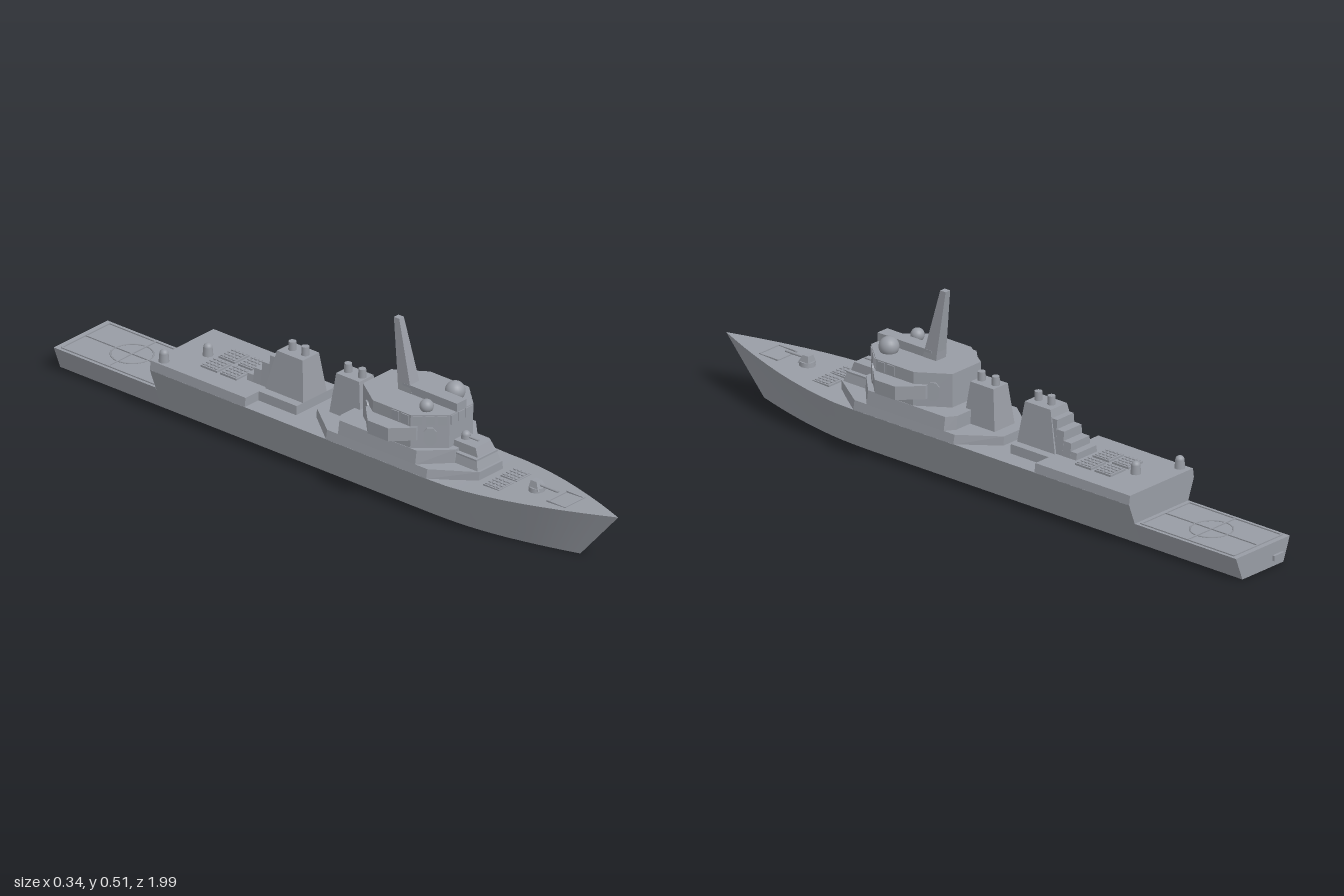
import * as THREE from 'three';
import { toCreasedNormals } from 'three/addons/utils/BufferGeometryUtils.js';

export function createModel() {
  const ship = new THREE.Group();
  ship.name = 'warship';
  const grey = new THREE.MeshStandardMaterial({ color: 0x989ca4 });
  grey.name = 'naval grey';

  const add = (name, geometry, x = 0, y = 0, z = 0, parent = ship) => {
    const mesh = new THREE.Mesh(geometry, grey);
    mesh.name = name;
    mesh.position.set(x, y, z);
    parent.add(mesh);
    return mesh;
  };
  const box = (name, w, h, d, x, y, z) => add(name, new THREE.BoxGeometry(w, h, d), x, y, z);

  // Joins convex rings of equal point count and caps both ends
  const loft = (rings) => {
    const p = [], n = rings[0].length;
    const tri = (a, b, c) => p.push(...a, ...b, ...c);
    for (let k = 0; k + 1 < rings.length; k++) {
      for (let i = 0; i < n; i++) {
        const j = (i + 1) % n, a = rings[k], b = rings[k + 1];
        tri(a[i], a[j], b[j]);
        tri(a[i], b[j], b[i]);
      }
    }
    const first = rings[0], last = rings[rings.length - 1];
    for (let i = 1; i + 1 < n; i++) {
      tri(first[0], first[i + 1], first[i]);
      tri(last[0], last[i], last[i + 1]);
    }
    const g = new THREE.BufferGeometry();
    g.setAttribute('position', new THREE.Float32BufferAttribute(p, 3));
    g.computeVertexNormals();
    return g;
  };
  // Mirrored deck outline, half given as [x, z] from front to back
  const outline = (half, y, sx = 1) => [
    ...half.map(([x, z]) => [x * sx, y, z]),
    ...half.slice().reverse().map(([x, z]) => [-x * sx, y, z]),
  ];
  const house = (name, half, y0, y1, sx = 1) =>
    add(name, loft([outline(half, y0), outline(half, y1, sx)]));
  // Tapered block: each level is [y, half width, back z, front z]
  const taper = (name, ...levels) =>
    add(name, loft(levels.map(([y, w, b, f]) => outline([[w, f], [w, b]], y))));

  // Hull: flared cross-sections from stern to bow
  const sheer = (z) => 0.133 + 0.024 * Math.max(0, (z - 0.48) / 0.52);
  const section = (z, w, y, zb, wb) => [[-wb, 0, zb], [wb, 0, zb], [w, y, z], [-w, y, z]];
  const stations = [[-0.61, 0.135], [0.3, 0.135], [0.42, 0.135], [0.48, 0.133], [0.54, 0.129], [0.6, 0.121],
    [0.66, 0.11], [0.72, 0.096], [0.78, 0.079], [0.84, 0.06], [0.9, 0.039], [0.95, 0.02], [1, 0]];
  const hull = stations.map(([z, w]) =>
    section(z, w, sheer(z), z > 0.3 ? 0.3 + (z - 0.3) * 0.8 : z, w * 0.63));
  add('hull', toCreasedNormals(loft(hull), 0.4));
  add('sternHull', loft([section(-0.985, 0.112, 0.07, -0.985, 0.085), section(-0.61, 0.112, 0.07, -0.61, 0.085)]));
  box('sternPlate', 0.04, 0.016, 0.009, -0.06, 0.025, -0.9885);

  // Helicopter deck markings
  const lineY = 0.071;
  for (const s of [-1, 1]) box('deckBorder', 0.005, 0.005, 0.345, s * 0.1, lineY, -0.795);
  for (const z of [-0.967, -0.625]) box('deckBorder', 0.2, 0.005, 0.005, 0, lineY, z);
  box('deckCentreLine', 0.004, 0.005, 0.34, 0, lineY, -0.795);
  box('deckCrossLine', 0.2, 0.005, 0.004, 0, lineY, -0.795);
  const ring = add('landingCircle', new THREE.TorusGeometry(0.06, 0.0025, 4, 40), 0, lineY, -0.795);
  ring.rotation.x = Math.PI / 2;

  // Raised aft deck and the narrow house ahead of it
  house('aftDeckHouse', [[0.135, -0.26], [0.135, -0.61]], 0.132, 0.16, 0.97);
  house('aftNarrowHouse', [[0.078, -0.12], [0.078, -0.265]], 0.132, 0.16, 0.97);

  // Forward superstructure, stacked levels
  house('lowerHouse', [[0.05, 0.53], [0.135, 0.41], [0.135, 0.04], [0.05, -0.07]], 0.132, 0.16, 0.96);
  house('middleHouse', [[0.05, 0.44], [0.13, 0.365], [0.13, 0.08], [0.1, 0.06]], 0.16, 0.2, 0.95);
  house('tower', [[0.05, 0.42], [0.122, 0.34], [0.122, 0.2], [0.06, 0.11]], 0.2, 0.3, 0.98);
  house('bridgeWings', [[0.115, 0.355], [0.17, 0.3], [0.17, 0.225], [0.11, 0.165]], 0.225, 0.265);
  taper('foreGunHouse', [0.155, 0.05, 0.41, 0.525], [0.187, 0.042, 0.41, 0.515]);
  box('foreGunHouseRim', 0.09, 0.005, 0.1, 0, 0.189, 0.466);
  taper('foreUpperHouse', [0.19, 0.032, 0.41, 0.51], [0.218, 0.03, 0.41, 0.5]);
  box('roofHouse', 0.04, 0.025, 0.2, 0, 0.3125, 0.322);
  taper('mast', [0.3, 0.021, 0.205, 0.255], [0.325, 0.0195, 0.203, 0.248], [0.51, 0.0095, 0.18, 0.2]);

  // Bridge windows and radar panels set on the tower faces
  const plate = (name, geometry, from, to, t, y, side) => {
    const dx = to[0] - from[0], dz = to[1] - from[1];
    const mesh = add(name, geometry, side * (from[0] + dx * t), y, from[1] + dz * t);
    mesh.rotation.y = side * Math.atan2(-dz, dx);
  };
  const pane = new THREE.BoxGeometry(0.026, 0.028, 0.005);
  const radarShape = new THREE.Shape([[-0.008, -0.027], [0.008, -0.027], [0.018, -0.015], [0.018, 0.015],
    [0.008, 0.027], [-0.008, 0.027], [-0.018, 0.015], [-0.018, -0.015]].map(([x, y]) => new THREE.Vector2(x, y)));
  const radar = new THREE.ExtrudeGeometry(radarShape, { depth: 0.005, bevelEnabled: false });
  const frontEdge = [[0.049, 0.42], [0.12, 0.34]], sideEdge = [[0.12, 0.34], [0.12, 0.2]];
  const backEdge = [[0.12, 0.2], [0.06, 0.11]];
  for (const s of [-1, 1]) {
    for (const t of [0.18, 0.5, 0.82]) plate('bridgeWindow', pane, ...frontEdge, t, 0.283, s);
    for (const t of [0.15, 0.4]) plate('sideWindow', pane, ...sideEdge, t, 0.283, s);
    plate('frontRadarPanel', radar, ...frontEdge, 0.5, 0.235, s);
    plate('rearRadarPanel', radar, ...backEdge, 0.5, 0.245, s);
  }
  for (const x of [-0.031, 0, 0.031]) add('frontWindow', pane, x, 0.283, 0.42);

  // Radomes with tapered necks
  const radome = (name, r, x, y, z) => {
    const pts = [[0, 0], [r * 0.72, 0]];
    for (let a = -0.45; a < 1.5; a += 0.2) pts.push([r * Math.cos(a), r * (0.75 + Math.sin(a))]);
    pts.push([0, r * 1.75]);
    add(name, new THREE.LatheGeometry(pts.map(([u, v]) => new THREE.Vector2(u, v)), 24), x, y, z);
  };
  radome('largeRadome', 0.029, 0.054, 0.293, 0.35);
  radome('smallRadome', 0.02, -0.065, 0.297, 0.35);

  // Close-range gun mounts: drum with a domed top
  const mount = (x, y, z) => {
    add('mountDrum', new THREE.CylinderGeometry(0.013, 0.015, 0.024, 16), x, y + 0.012, z);
    add('mountDome', new THREE.SphereGeometry(0.013, 16, 8, 0, Math.PI * 2, 0, Math.PI / 2), x, y + 0.024, z);
  };
  mount(0, 0.16, -0.515);
  mount(-0.11, 0.16, -0.58);
  mount(0, 0.204, 0.438);
  const barrel = (name, r, length, y, z) => {
    const mesh = add(name, new THREE.CylinderGeometry(r, r, length, 10), 0, y, z);
    mesh.rotation.x = Math.PI / 2;
  };
  barrel('foreMountBarrel', 0.003, 0.04, 0.225, 0.465);

  // Main bow gun
  add('gunBase', new THREE.CylinderGeometry(0.022, 0.024, 0.018, 16), 0, 0.147, 0.7);
  taper('gunTurret', [0.15, 0.018, 0.683, 0.72], [0.174, 0.011, 0.687, 0.708]);
  barrel('gunBarrel', 0.0035, 0.075, 0.163, 0.742);

  // Funnels and exhaust pipes
  taper('foreFunnel', [0.158, 0.042, -0.03, 0.085], [0.28, 0.03, -0.015, 0.07]);
  taper('aftFunnel', [0.158, 0.05, -0.26, -0.12], [0.28, 0.034, -0.23, -0.135]);
  [[0.257, -0.255], [0.23, -0.282], [0.203, -0.31], [0.18, -0.333]].forEach(([top, back], i) =>
    taper('funnelStep', [0.158, 0.044, back, -0.2], [top, 0.034 + i * 0.002, back, -0.2]));
  for (const z of [0.055, 0.003, -0.155, -0.203]) {
    add('exhaustPipe', new THREE.CylinderGeometry(0.011, 0.012, 0.03, 14), 0, 0.291, z);
  }

  // Missile cell blocks: plate with a grid of hatches
  const cells = (x, y, z) => {
    box('cellPlate', 0.062, 0.008, 0.06, x, y, z);
    for (let i = 0; i < 4; i++) {
      for (let j = 0; j < 4; j++) {
        box('cellHatch', 0.01, 0.004, 0.01, x + (i - 1.5) * 0.0145, y + 0.005, z + (j - 1.5) * 0.0138);
      }
    }
  };
  for (const x of [-0.037, 0.037]) {
    cells(x, 0.138, 0.59);
    for (const z of [-0.38, -0.452]) cells(x, 0.162, z);
  }

  // Breakwater frame on the bow
  for (const z of [0.775, 0.84]) box('bowFrame', 0.084, 0.006, 0.004, 0, sheer(z), z);
  for (const x of [-0.04, 0.04]) box('bowFrame', 0.004, 0.007, 0.069, x, sheer(0.808), 0.8075);
  return ship;
}
